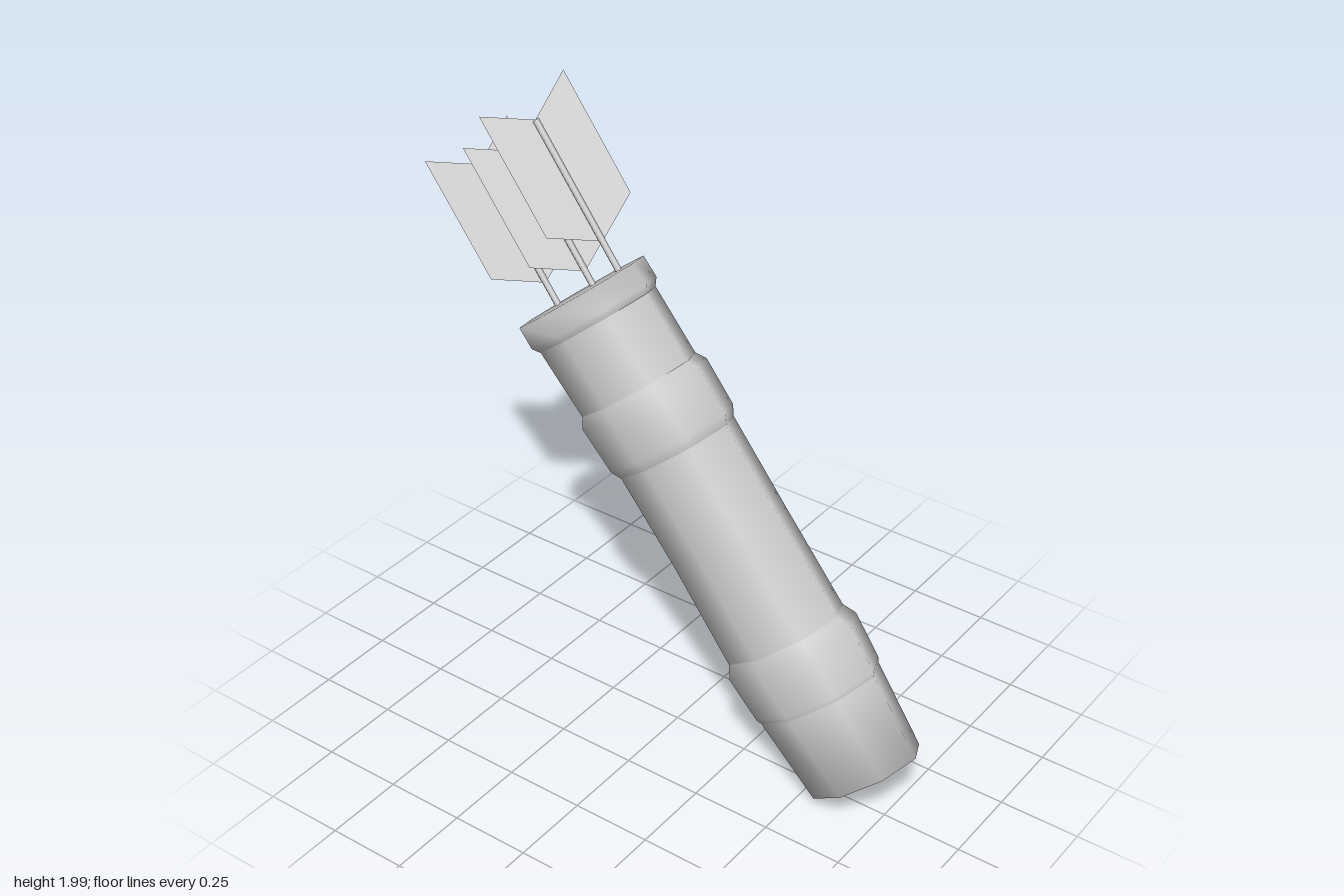
import * as THREE from 'three';

const material = new THREE.MeshStandardMaterial({ color: 0xcccccc });
const thinMaterial = new THREE.MeshStandardMaterial({ color: 0xcccccc, side: THREE.DoubleSide });

const DEPTH = 0.69;    // flattening of the octagonal section
const LENGTH = 1.62;

// Eight-sided flattened sleeve from [radius, height] pairs, bowed slightly sideways
function sleeve(name, profile) {
  const geometry = new THREE.LatheGeometry(profile.map(([r, h]) => new THREE.Vector2(r, h)), 8);
  geometry.scale(1, 1, DEPTH);
  const p = geometry.attributes.position;
  for (let i = 0; i < p.count; i++) {
    const t = Math.min(1, Math.max(0, p.getY(i) / LENGTH));
    p.setX(i, p.getX(i) + 0.014 * Math.sin(Math.PI * t ** 1.5) ** 2);
  }
  const mesh = new THREE.Mesh(geometry, material);
  mesh.name = name;
  return mesh;
}

// Chevron of two slanted vanes meeting at the shaft; the origin is the top of the shaft
function fletchingGeometry() {
  const w = 0.11, z = 0.08, notch = 0.083, len = 0.385;
  const columns = [[-w, notch, z], [0, 0, 0], [w, notch, -z]];
  const positions = [];
  for (const [x, y, d] of columns) positions.push(x, y - len, d, x, y, d);
  const geometry = new THREE.BufferGeometry();
  geometry.setAttribute('position', new THREE.Float32BufferAttribute(positions, 3));
  geometry.setIndex([0, 2, 3, 0, 3, 1, 2, 4, 5, 2, 5, 3]);
  geometry.computeVertexNormals();
  return geometry;
}

function arrow(name, x, y, z) {
  const group = new THREE.Group();
  group.name = name;
  const vanes = new THREE.Mesh(fletchingGeometry(), thinMaterial);
  vanes.name = 'fletching';
  const length = 0.62;
  const shaft = new THREE.Mesh(new THREE.CylinderGeometry(0.01, 0.01, length, 6), material);
  shaft.name = 'shaft';
  shaft.position.y = -length / 2;
  group.add(vanes, shaft);
  group.position.set(x, y, z);
  group.rotation.z = THREE.MathUtils.degToRad(36.5);
  return group;
}

export function createModel() {
  const model = new THREE.Group();
  model.name = 'quiverWithArrows';

  // Leaning quiver: closed body, two raised bands and a thick rim
  const quiver = new THREE.Group();
  quiver.name = 'quiver';
  quiver.add(
    sleeve('body', [[0, 0], [0.206, 0], [0.228, 0.26], [0.222, 0.47], [0.217, 0.8],
      [0.219, 1.1], [0.221, 1.31], [0.225, 1.54]]),
    sleeve('lowerBand', [[0.222, 0.26], [0.237, 0.285], [0.247, 0.43], [0.219, 0.475]]),
    sleeve('upperBand', [[0.216, 1.095], [0.238, 1.13], [0.243, 1.28], [0.219, 1.312]]),
    sleeve('rim', [[0.222, 1.525], [0.244, 1.55], [0.243, LENGTH], [0, LENGTH]]),
  );
  quiver.position.set(0.68, 0.14, 0);
  quiver.rotation.z = THREE.MathUtils.degToRad(39);
  model.add(quiver);

  // Three arrows standing in the mouth
  model.add(
    arrow('leftmostArrow', -0.705, 1.69, -0.01),
    arrow('middleArrow', -0.575, 1.76, -0.03),
    arrow('rightmostArrow', -0.522, 1.865, -0.045),
  );
  return model;
}
